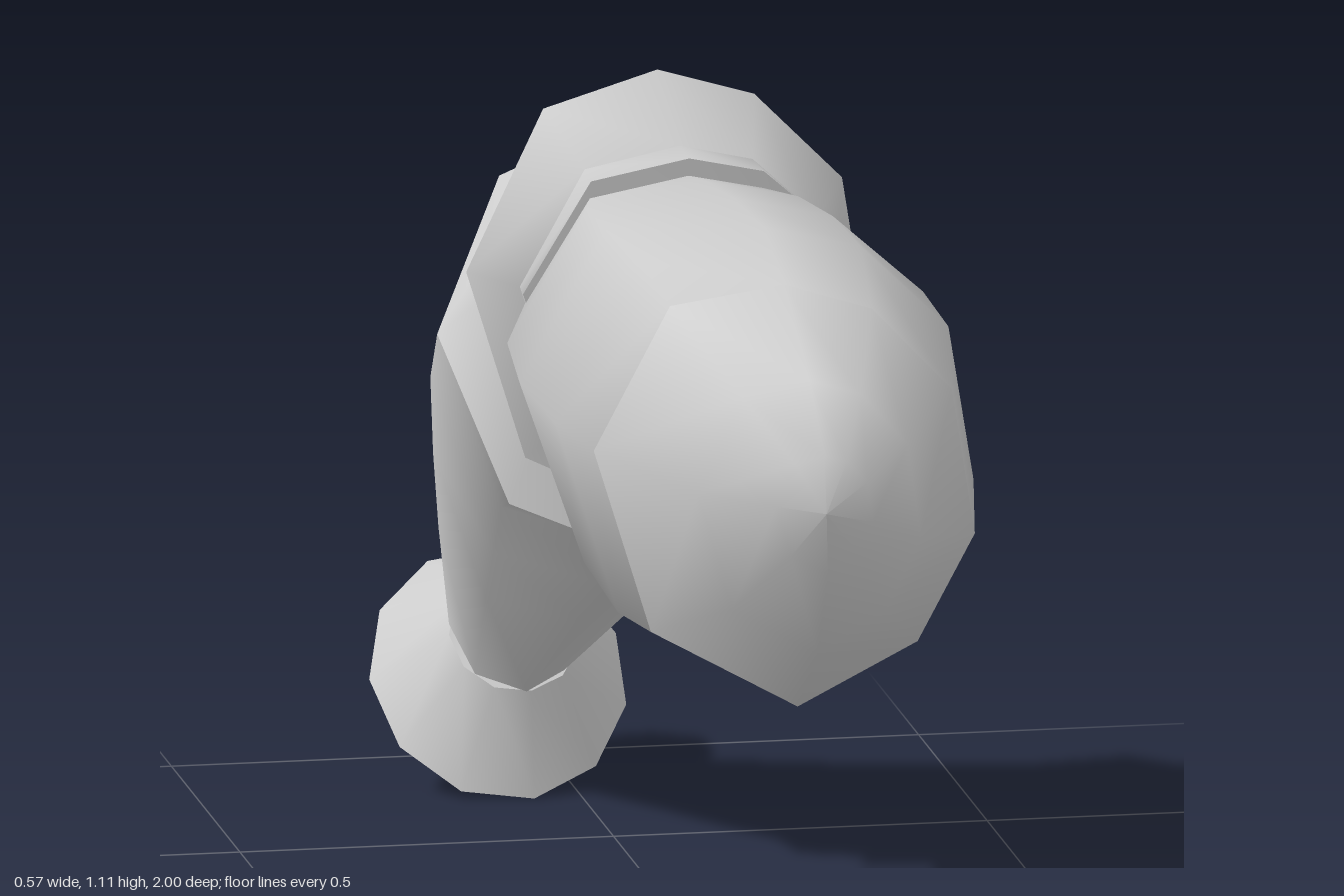
import * as THREE from 'three';

// Irregular nine-sided section, clockwise from the front: [across, up]
const LIMB = [[-1, .18], [-.6, .88], [0, 1], [.46, .9], [.88, .53], [1, -.15], [.7, -.67], [.07, -1], [-.7, -.67]];
const ROUND = Array.from({ length: 11 }, (_, i) => {
  const a = (i / 11) * Math.PI * 2;
  return [-Math.sin(Math.PI / 2 - a), Math.cos(Math.PI / 2 - a)];
});

// A ring hangs between a top and a bottom point, each [y, z];
// w = half width, x = sideways centre, bow = forward sag of the flanks, skew = z slope across x
const ring = (top, bottom, w, x = 0, bow = 0, skew = 0) => ({ top, bottom, w, x, bow, skew });

// Smooth skin through rings ordered from front to back
function loft(rings, section = LIMB) {
  const n = section.length, pos = [], index = [];
  for (const { top, bottom, w, x, bow, skew } of rings) {
    for (const [u, v] of section) {
      const t = (1 + v) / 2;
      pos.push(
        x + u * w,
        bottom[0] + (top[0] - bottom[0]) * t,
        bottom[1] + (top[1] - bottom[1]) * t + bow * Math.abs(u) * t + skew * u * w,
      );
    }
  }
  for (let r = 0; r < rings.length - 1; r++) {
    for (let i = 0; i < n; i++) {
      const a = r * n + i, b = r * n + (i + 1) % n;
      index.push(a, b, a + n, b, b + n, a + n);
    }
  }
  const g = new THREE.BufferGeometry();
  g.setAttribute('position', new THREE.Float32BufferAttribute(pos, 3));
  g.setIndex(index);
  g.computeVertexNormals();
  return g;
}

export function createModel() {
  const model = new THREE.Group();
  model.name = 'bentLimb';
  const material = new THREE.MeshStandardMaterial({ color: 0xcccccc, side: THREE.DoubleSide });
  const add = (name, rings, section) => {
    const mesh = new THREE.Mesh(loft(rings, section), material);
    mesh.name = name;
    model.add(mesh);
  };

  // Rounded front end, meeting the upper limb at a slanted crease
  const crease = ring([1.05, .8], [.48, .8], .24, -.01, 0, .34);
  add('frontCap', [
    ring([.785, 1], [.785, 1], 0, .01),
    ring([.86, .985], [.7, .985], .065, .01),
    ring([.95, .93], [.58, .93], .145, 0, 0, .15),
    crease,
  ]);

  // Upper limb
  add('upperLimb', [
    crease,
    ring([1.08, .6], [.467, .6], .28),
    ring([1.068, .38], [.49, .38], .287),
    ring([1.045, .18], [.54, .18], .267),
    ring([1.012, 0], [.595, -.05], .212, .005),
    ring([.98, -.12], [.62, -.15], .18),
  ]);

  // Collar with a thin front lip
  const collarFront = ring([1.04, .025], [.6, -.035], .218, .005);
  const collarBack = ring([1.035, -.07], [.585, -.1], .212, .01);
  add('collarLip', [ring([1.0, .022], [.62, -.035], .2, .005), collarFront]);
  add('collar', [collarFront, collarBack]);

  // Flared joint guard
  const guardEdge = ring([1.113, -.18], [.51, -.12], .268, 0, .07);
  const guardBack = ring([1.1, -.2], [.515, -.155], .258, 0, .06);
  add('guardFlange', [collarBack, guardEdge]);
  add('guardRim', [guardEdge, guardBack]);
  add('guard', [
    guardBack,
    ring([.95, -.39], [.57, -.2], .212, 0, .05),
    ring([.84, -.45], [.56, -.28], .15),
  ]);

  // Lower limb: sloped shoulder, sharp rim, tapering shank
  const rim = ring([.945, -.57], [.44, -.18], .272, 0, .18);
  add('lowerLimbShoulder', [
    ring([.93, -.36], [.58, -.2], .19, 0, .03),
    ring([.958, -.4], [.545, -.18], .215, 0, .05),
    rim,
  ]);
  add('lowerLimb', [
    rim,
    ring([.8, -.59], [.44, -.26], .25, -.01, .06),
    ring([.63, -.66], [.365, -.385], .205, -.03, .02),
    ring([.47, -.735], [.285, -.525], .157, -.05),
    ring([.28, -.85], [.147, -.73], .085, -.08),
  ]);

  // Flared foot with a flat sole
  const sole = ring([.28, -1], [0, -.73], .172, -.088);
  add('foot', [ring([.28, -.85], [.147, -.73], .087, -.08), sole], ROUND);
  add('sole', [{ ...sole }, ring([.14, -.865], [.14, -.865], 0, -.088)], ROUND);

  return model;
}
